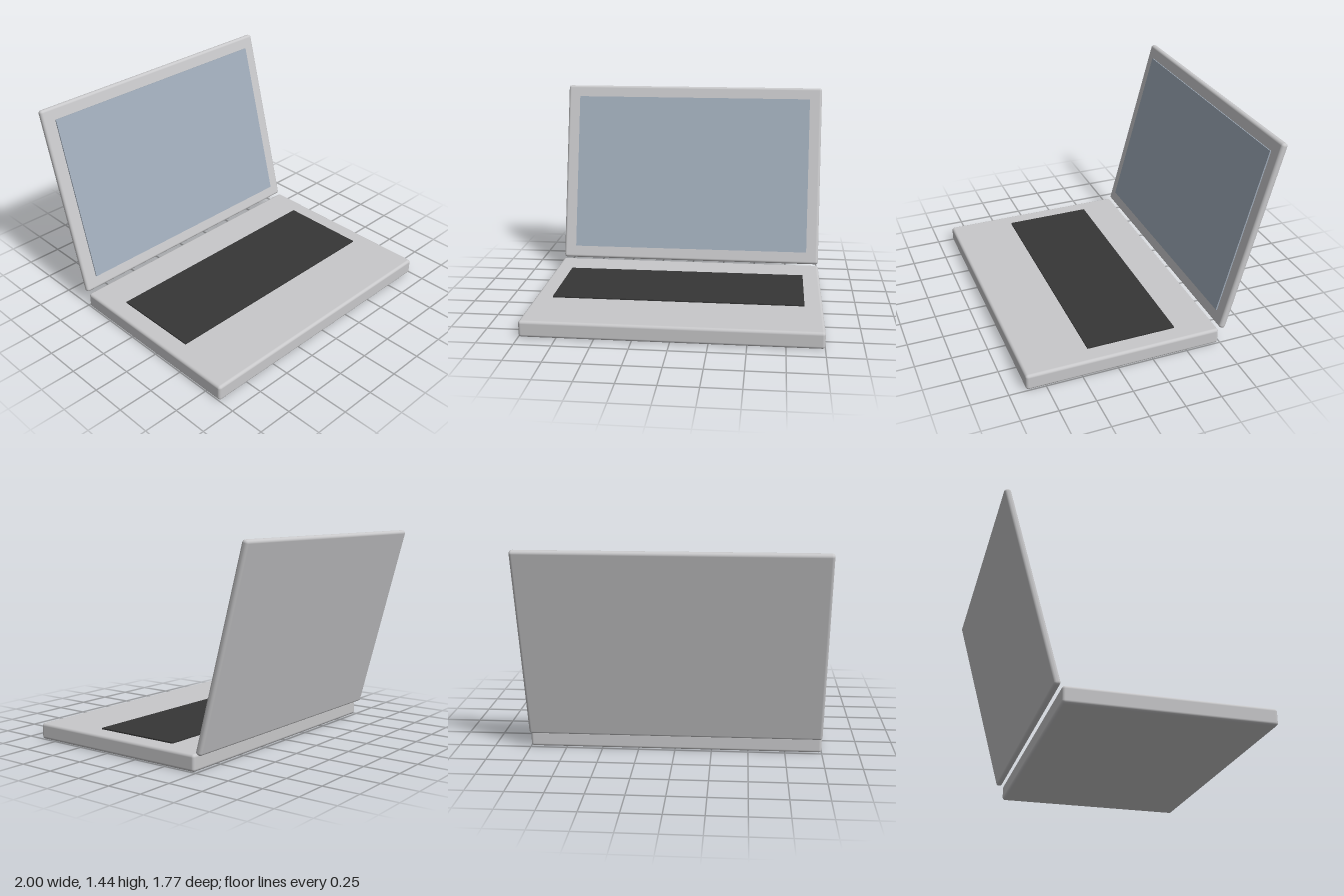
import * as THREE from 'three';
import { RoundedBoxGeometry } from 'three/addons/geometries/RoundedBoxGeometry.js';

export function createModel() {
  const shell = new THREE.MeshStandardMaterial({ name: 'silver shell', color: 0xc8c8ca });
  const glass = new THREE.MeshStandardMaterial({ name: 'blue grey glass', color: 0xa0acba });
  const keys = new THREE.MeshStandardMaterial({ name: 'charcoal keys', color: 0x363636 });

  const model = new THREE.Group();
  model.name = 'laptop';

  const add = (parent, name, geometry, material, x, y, z) => {
    const mesh = new THREE.Mesh(geometry, material);
    mesh.name = name;
    mesh.position.set(x, y, z);
    parent.add(mesh);
  };

  // Base with a flat keyboard plate
  add(model, 'base', new RoundedBoxGeometry(2, 0.113, 1.37, 4, 0.02), shell, 0, 0.0565, 0.198);
  add(model, 'keyboard', new THREE.BoxGeometry(1.75, 0.018, 0.63), keys, 0, 0.113, 0.105);

  // Lid leaning back 15 degrees, with the screen on its front face
  const lid = new THREE.Group();
  lid.name = 'lid';
  lid.position.set(0, 0.7735, -0.69);
  lid.rotation.x = -THREE.MathUtils.degToRad(15);
  model.add(lid);
  add(lid, 'lidPanel', new RoundedBoxGeometry(2, 1.37, 0.046, 4, 0.02), shell, 0, 0, 0);
  add(lid, 'screen', new THREE.BoxGeometry(1.814, 1.19, 0.018), glass, 0, 0, 0.023);

  return model;
}
